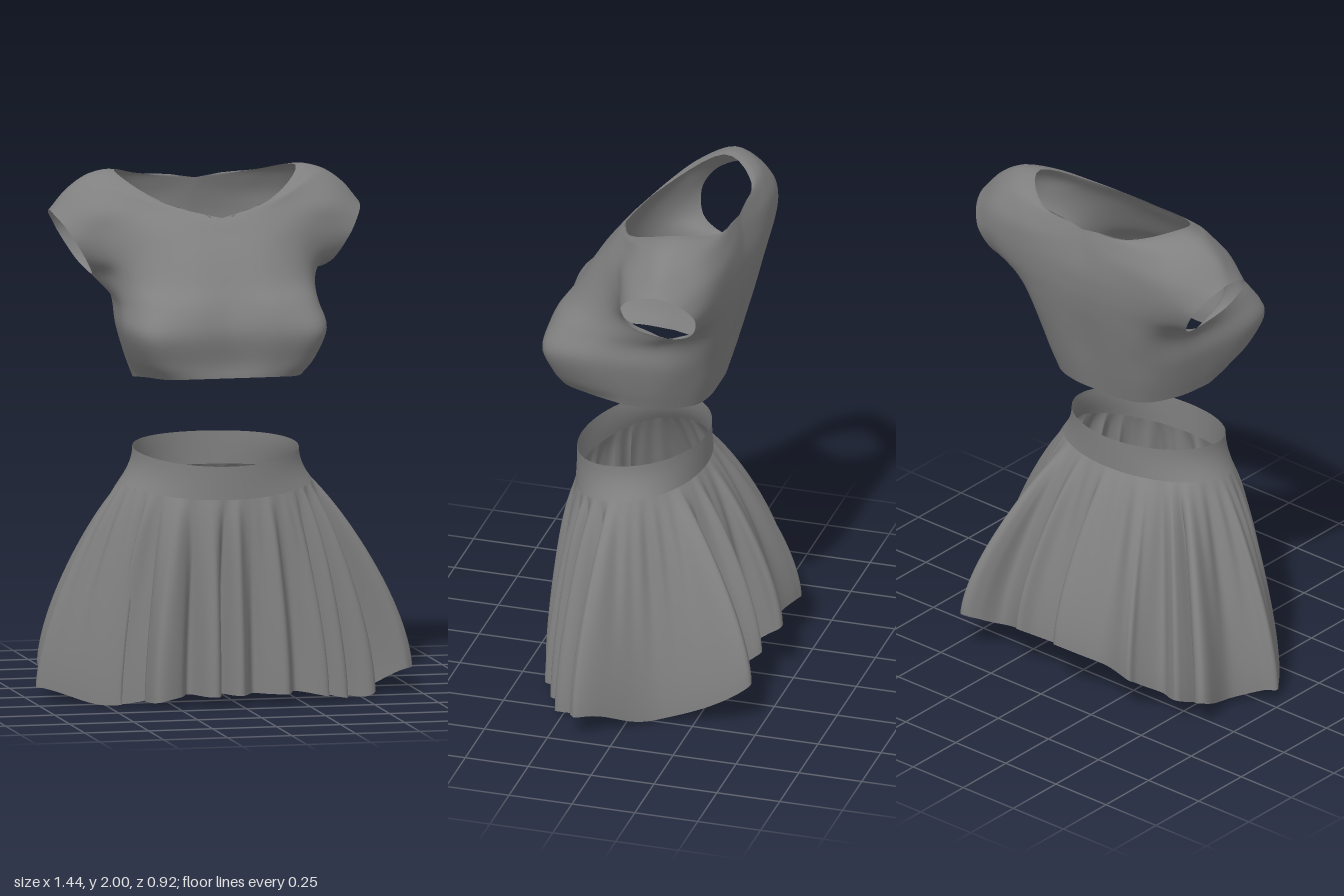
import * as THREE from 'three';
import { mergeGeometries, mergeVertices } from 'three/addons/utils/BufferGeometryUtils.js';

const V = (x, y, z) => new THREE.Vector3(x, y, z);
const spline = (pts, closed = false) => new THREE.CatmullRomCurve3(pts, closed, 'catmullrom', 0.5);
const smooth = THREE.MathUtils.smoothstep;
const lerp = THREE.MathUtils.lerp;
const mirror = p => V(-p.x, p.y, p.z);

// Grid surface from fn(u, v); flip reverses the facing
function grid(fn, nu, nv, flip) {
  const pos = [], idx = [];
  for (let j = 0; j <= nv; j++)
    for (let i = 0; i <= nu; i++) pos.push(...fn(i / nu, j / nv).toArray());
  for (let j = 0; j < nv; j++)
    for (let i = 0; i < nu; i++) {
      const a = j * (nu + 1) + i, b = a + 1, c = a + nu + 1, d = c + 1;
      idx.push(...(flip ? [a, d, b, a, c, d] : [a, b, d, a, d, c]));
    }
  const g = new THREE.BufferGeometry();
  g.setAttribute('position', new THREE.Float32BufferAttribute(pos, 3));
  g.setIndex(idx);
  return g;
}

// Join patches and smooth over their seams
function weld(parts) {
  const g = mergeVertices(mergeGeometries(parts), 1e-4);
  g.computeVertexNormals();
  return g;
}

// Half panels: rows from hem to shoulder, each running from the centre to the side
const FRONT = [
  [0, 1.26, .39, .14, 1.26, .39, .25, 1.255, .345, .305, 1.25, .22, .325, 1.235, .08],
  [0, 1.32, .39, .16, 1.32, .4, .3, 1.32, .365, .35, 1.31, .21, .35, 1.31, .06],
  [0, 1.43, .41, .18, 1.43, .425, .335, 1.43, .395, .39, 1.43, .24, .375, 1.42, .03],
  [0, 1.52, .385, .17, 1.53, .395, .315, 1.53, .335, .375, 1.52, .18, .375, 1.52, -.03],
  [0, 1.61, .335, .16, 1.61, .33, .29, 1.61, .26, .37, 1.605, .13, .44, 1.605, -.13],
  [0, 1.71, .275, .15, 1.71, .265, .28, 1.71, .2, .38, 1.69, .11, .475, 1.65, 0],
  [0, 1.79, .215, .15, 1.79, .205, .29, 1.81, .14, .42, 1.79, .075, .53, 1.74, .033],
  [0, 1.845, .172, .15, 1.855, .15, .3, 1.88, .085, .45, 1.865, .045, .57, 1.805, 0],
  [.22, 1.905, .08, .29, 1.925, .05, .38, 1.95, 0, .49, 1.92, -.035, .595, 1.84, -.06],
  [.355, 2, -.11, .4, 2, -.115, .47, 1.98, -.12, .545, 1.925, -.125, .602, 1.855, -.13],
];
const BACK = [
  [0, 1.21, -.2, .12, 1.21, -.195, .22, 1.215, -.16, .295, 1.225, -.05, .325, 1.235, .08],
  [0, 1.31, -.225, .13, 1.31, -.225, .24, 1.31, -.19, .32, 1.31, -.08, .35, 1.31, .06],
  [0, 1.42, -.25, .14, 1.42, -.255, .26, 1.42, -.22, .345, 1.42, -.12, .375, 1.42, .03],
  [0, 1.52, -.275, .15, 1.52, -.28, .28, 1.52, -.25, .355, 1.52, -.15, .375, 1.52, -.03],
  [0, 1.61, -.297, .16, 1.61, -.3, .29, 1.61, -.28, .37, 1.605, -.23, .44, 1.605, -.13],
  [0, 1.7, -.31, .16, 1.7, -.315, .3, 1.7, -.305, .4, 1.68, -.28, .475, 1.65, -.23],
  [0, 1.8, -.31, .16, 1.8, -.318, .3, 1.8, -.315, .43, 1.78, -.3, .53, 1.74, -.265],
  [0, 1.94, -.278, .15, 1.9, -.3, .3, 1.89, -.305, .45, 1.87, -.285, .57, 1.805, -.235],
  [.22, 1.965, -.26, .29, 1.97, -.258, .38, 1.965, -.245, .48, 1.93, -.22, .595, 1.84, -.185],
  FRONT[9],
];

// Row curve as a function of u, carried smoothly over the centre line
function rowCurve(r) {
  const pts = [0, 3, 6, 9, 12].map(k => V(r[k], r[k + 1], r[k + 2]));
  if (r[0] > 0) return u => spline(pts).getPoint(u);
  const whole = spline([...pts.slice(1).reverse().map(mirror), ...pts]);
  return u => whole.getPoint(.5 + .5 * u);
}

// Curve through pts, with neighbours before and after that only steer its ends
function steered(before, pts, after) {
  const all = [...before, ...pts, ...after], c = spline(all);
  return t => c.getPoint((t + before.length) / (all.length - 1));
}

function panel(rows, other, sx, isBack) {
  const mine = rows.map(rowCurve), theirs = other.map(rowCurve);
  const cache = new Map();
  const column = u => {
    if (cache.has(u)) return cache.get(u);
    const pts = mine.map(c => c(u)), over = [theirs[8](u)];
    let fn = steered([], pts, over);
    // edges turn a corner at the neckline (row 7) and at the armpit (row 4)
    if (u === 0 || u === 1) {
      const k = u === 0 ? 7 : 4;
      const low = steered([], pts.slice(0, k + 1), []);
      const high = steered([u === 0 ? mirror(pts[8]) : theirs[5](1)], pts.slice(k), over);
      fn = t => (t <= k ? low(t) : high(t - k));
    }
    cache.set(u, fn);
    return fn;
  };
  return grid((u, v) => {
    const p = column(u)(Math.round(v * 45) / 5);
    return V(sx * p.x - .02, p.y, p.z);
  }, 20, 45, (sx < 0) !== isBack);
}

// Skirt folds at the hem, from the front centre round by the left:
// inner x, z, then outer x, z and the half width of the rounded fold
const FOLDS = [
  [-.07, .34, 0, .437, .03], [.06, .36, .18, .43, .06], [.24, .34, .35, .38, .03],
  [.33, .28, .43, .335, .03], [.4, .2, .55, .28, .04], [.48, .1, .715, .165, .035],
  [.5, -.12, .415, -.46, .04], [.33, -.34, .18, -.43, .05], [.02, -.35, -.01, -.44, .03],
  [-.2, -.385, -.37, -.42, .03], [-.43, -.3, -.53, -.33, .03], [-.55, -.22, -.615, -.3, .03],
  [-.6, -.1, -.715, .04, .04], [-.55, .25, -.45, .285, .02], [-.36, .33, -.33, .44, .07],
  [-.19, .34, -.1, .455, .03],
];

function hemCurve() {
  const pts = FOLDS.flatMap(([ix, iz, ox, oz, w], i) => {
    const next = FOLDS[(i + 1) % FOLDS.length];
    const inner = V(ix, 0, iz), tip = V(ox, 0, oz);
    const out = tip.clone().sub(V((ix + next[0]) / 2, 0, (iz + next[1]) / 2)).normalize();
    const along = V(out.z, 0, -out.x);
    const shoulder = s => tip.clone().addScaledVector(out, -w).addScaledVector(along, s * w);
    return [inner, shoulder(-1), tip, shoulder(1)];
  });
  const curve = spline(pts, true);
  curve.arcLengthDivisions = 1500;
  return curve;
}

// Waistband loop: k = 0 at its upper edge, 1 at its lower edge
function band(a, k) {
  const c = Math.cos(a);
  return V(-.027 + (.32 + .05 * k * k) * Math.sin(a), .962 - .128 * k - .035 * c - .012 * c * c, .1 + .25 * c);
}

function skirtCloth() {
  const curve = hemCurve(), nu = 560, cols = [];
  for (let i = 0; i <= nu; i++) {
    const t = (i % nu) / nu, p = curve.getPointAt(t), avg = V(0, 0, 0);
    for (let k = -6; k <= 6; k++) avg.add(curve.getPointAt((t + k * .006 + 1) % 1));
    avg.divideScalar(13);
    const a = Math.atan2((avg.x + .027) / .6, (avg.z - .06) / .45);
    const side = Math.abs(p.x);
    // hem dips at the sides and rises at the back and the outermost folds
    p.y = .045 - .04 * smooth(side, .2, .5) + smooth(side, .5, .72) * (p.x > 0 ? .09 : .045)
      + (p.z < 0 ? .8 * p.z * p.z : 0);
    cols.push({ a, p, avg });
  }
  return grid((u, s) => {
    const { a, p, avg } = cols[Math.round(u * nu)];
    const top = band(a, 1), f = 1 - Math.pow(1 - s, 1.55), fold = 1 - Math.pow(1 - s, 1.9);
    // small gathers just under the waistband
    const g = .05 * s * Math.pow(1 - s, 3) * (Math.sin(a * 34) + .6 * Math.sin(a * 21 + 1)) + .1 * s * Math.pow(1 - s, 5);
    return V(
      lerp(top.x, avg.x, f) + (p.x - avg.x) * fold + g * Math.sin(a),
      lerp(top.y, p.y, s),
      lerp(top.z, avg.z, f) + (p.z - avg.z) * fold + g * Math.cos(a));
  }, nu, 32, true);
}

export function createModel() {
  const model = new THREE.Group();
  model.name = 'outfit';
  const cloth = new THREE.MeshStandardMaterial({ color: 0x808080, side: THREE.DoubleSide });
  cloth.name = 'grey cloth';
  const add = (name, geometry) => {
    const mesh = new THREE.Mesh(geometry, cloth);
    mesh.name = name;
    model.add(mesh);
  };

  // Cropped top with cap sleeves
  add('croppedTop', weld([1, -1].flatMap(sx => [panel(FRONT, BACK, sx, false), panel(BACK, FRONT, sx, true)])));

  // Skirt
  add('waistband', weld([grid((u, k) => band(u * Math.PI * 2, k), 96, 6, true)]));
  add('skirt', weld([skirtCloth()]));
  return model;
}
